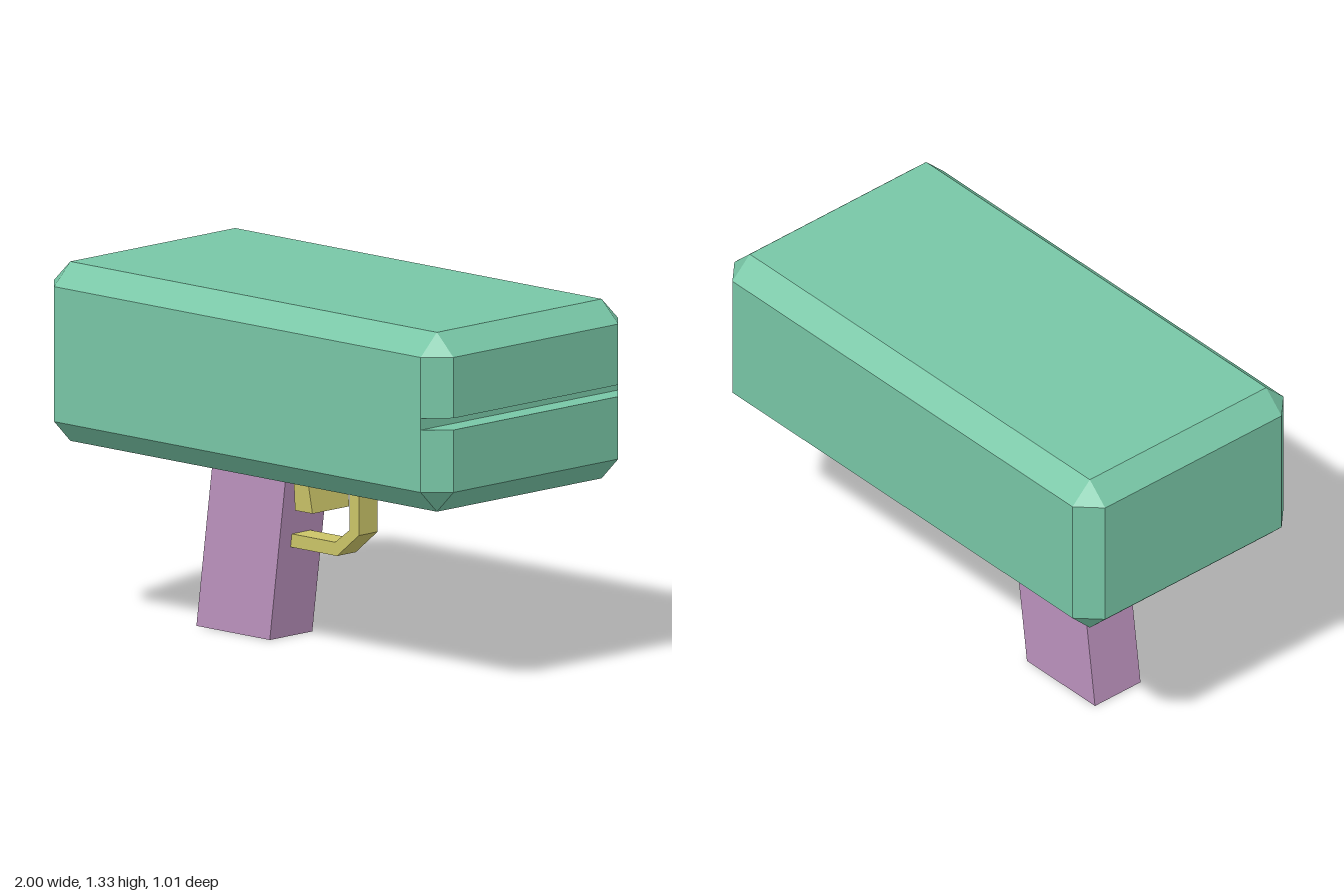
import * as THREE from 'three';

// Joins closed rings of corners (counter-clockwise seen from above, bottom ring first) and caps both ends.
function loft(rings) {
  const pos = [];
  const tri = (a, b, c) => {
    const p = new THREE.Triangle(a, b, c);
    if (p.getArea() > 1e-7) for (const v of [a, b, c]) pos.push(v.x, v.y, v.z);
  };
  const n = rings[0].length;
  for (let r = 0; r < rings.length - 1; r++) {
    const lo = rings[r], hi = rings[r + 1];
    for (let i = 0; i < n; i++) {
      const j = (i + 1) % n;
      tri(lo[i], lo[j], hi[j]);
      tri(lo[i], hi[j], hi[i]);
    }
  }
  const bottom = rings[0], top = rings[rings.length - 1];
  for (let i = 1; i < n - 1; i++) {
    tri(bottom[0], bottom[i + 1], bottom[i]);
    tri(top[0], top[i], top[i + 1]);
  }
  const g = new THREE.BufferGeometry();
  g.setAttribute('position', new THREE.Float32BufferAttribute(pos, 3));
  g.computeVertexNormals();
  return g;
}

// Rectangular ring at height y
function rect(y, x0, x1, z) {
  return [[x0, z], [x1, z], [x1, -z], [x0, -z]].map(([x, w]) => new THREE.Vector3(x, y, w));
}

// Ring with bevelled corners; inset pulls it to the cap outline, maxX cuts the slot
function bevelRing(y, inset = false, maxX = 1) {
  const X = 1, Z = 0.505, c = 0.083;
  const x = inset ? X - c : X, z = inset ? Z - c : Z;
  return [
    [-(X - c), z], [X - c, z], [x, Z - c], [x, -(Z - c)],
    [X - c, -z], [-(X - c), -z], [-x, -(Z - c)], [-x, Z - c],
  ].map(([px, pz]) => new THREE.Vector3(Math.min(px, maxX), y, pz));
}

export function createModel() {
  const green = new THREE.MeshStandardMaterial({ color: 0x78c6a6, flatShading: true });
  green.name = 'bodyGreen';
  const purple = new THREE.MeshStandardMaterial({ color: 0xbb92bd, flatShading: true });
  purple.name = 'gripPurple';
  const yellow = new THREE.MeshStandardMaterial({ color: 0xcbc468, flatShading: true });
  yellow.name = 'triggerYellow';

  const group = new THREE.Group();
  const add = (name, geometry, material) => {
    const mesh = new THREE.Mesh(geometry, material);
    mesh.name = name;
    group.add(mesh);
  };

  // Bevelled block body with a slot across its +x end
  const slotX = 0.917;
  add('body', loft([
    bevelRing(0.675, true), bevelRing(0.757),
    bevelRing(0.985), bevelRing(0.985, false, slotX),
    bevelRing(1.028, false, slotX), bevelRing(1.028),
    bevelRing(1.25), bevelRing(1.33, true),
  ]), green);

  // Slanted grip
  add('grip', loft([rect(0, -0.592, -0.225, 0.109), rect(0.68, -0.502, -0.135, 0.109)]), purple);

  // Tapered trigger
  add('trigger', loft([rect(0.487, -0.113, -0.026, 0.094), rect(0.68, -0.113, -0.053, 0.105)]), yellow);

  // Bent guard strip
  const guard = new THREE.Shape([
    [-0.185, 0.337], [0.052, 0.337], [0.161, 0.427], [0.161, 0.655],
    [0.114, 0.655], [0.114, 0.44], [0.042, 0.386], [-0.185, 0.386],
  ].map(([x, y]) => new THREE.Vector2(x, y)));
  const guardGeometry = new THREE.ExtrudeGeometry(guard, { depth: 0.096, bevelEnabled: false });
  guardGeometry.translate(0, 0, -0.048);
  add('triggerGuard', guardGeometry, yellow);

  // Flared foot joining the guard to the body
  add('guardFoot', loft([rect(0.655, 0.114, 0.161, 0.048), rect(0.68, 0.114, 0.161, 0.1)]), yellow);

  return group;
}
